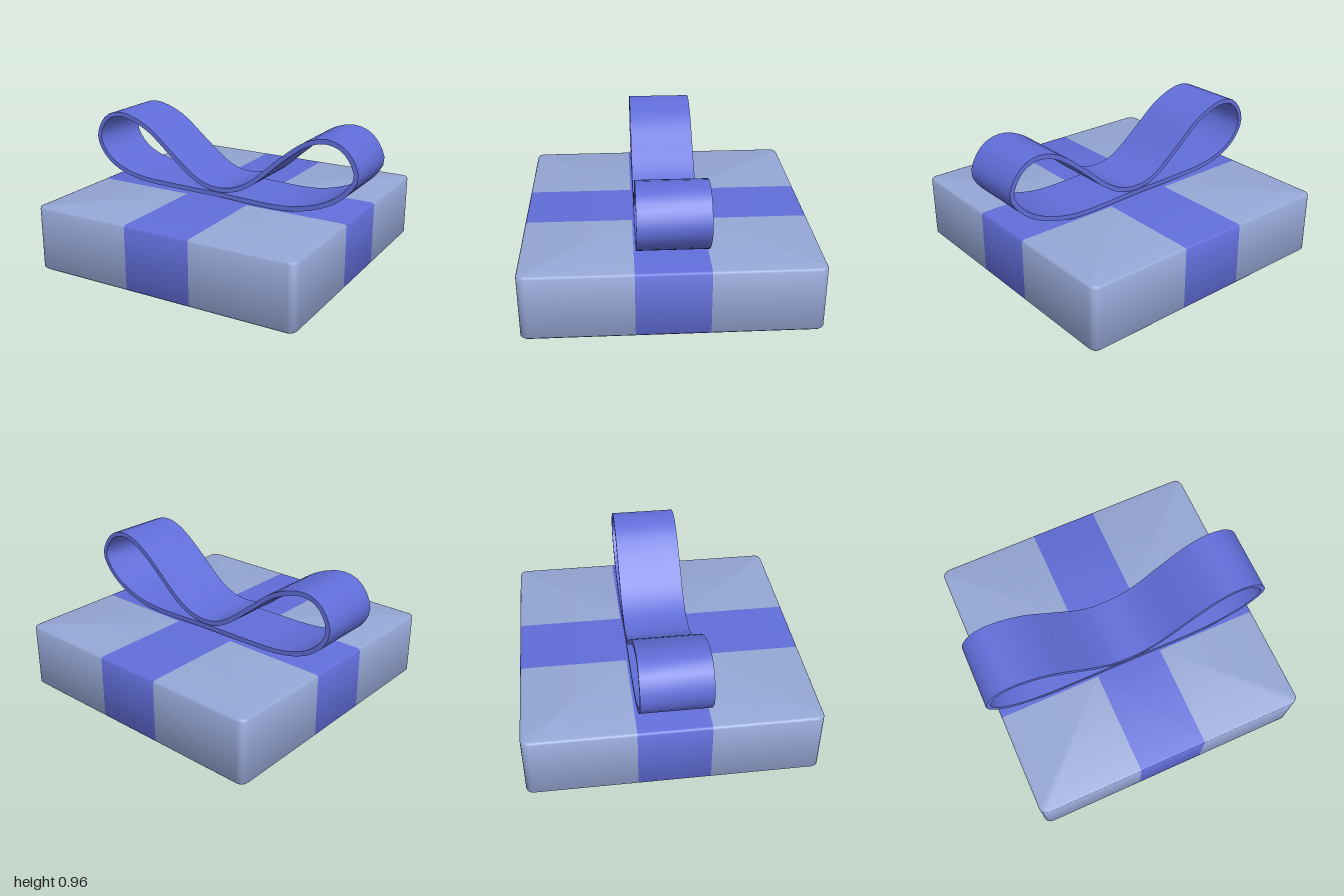
import * as THREE from 'three';
import { toCreasedNormals } from 'three/addons/utils/BufferGeometryUtils.js';

const BAND = 0.233;       // half width of the flat ribbon
const ARC = 4;            // steps round each vertical corner
const PER_SIDE = ARC + 3; // ring points on each side

const boxMaterial = new THREE.MeshStandardMaterial({ color: 0x94a6d4, side: THREE.DoubleSide });
const ribbonMaterial = new THREE.MeshStandardMaterial({ color: 0x606dd8, side: THREE.DoubleSide });

// Lid profile from ceiling centre, down the inside, up the outside, to top centre:
// [half width, corner radius, y, normal angle in degrees]; a repeated point is a crease
const PROFILE = [
  [0, 0, 0.37, -90], [BAND, 0, 0.37, -90], [0.89, 0, 0.37, -90],
  [0.89, 0, 0.37, 180], [0.89, 0, 0, 180],
  [0.89, 0, 0, -90], [0.925, 0.04, 0, -75], [0.94, 0.05, 0.015, -20],
  [0.94, 0.05, 0.425, 18], [0.935, 0.045, 0.435, 50], [0.922, 0.04, 0.44, 80],
  [BAND, 0, 0.44, 90], [0, 0, 0.44, 90],
];

// Points of one rounded square, with stops at the ribbon's edges: [x, z, normal angle]
function ring(half, radius) {
  const points = [];
  const b = Math.min(BAND, half);
  for (let side = 0; side < 4; side++) {
    const turn = (side * Math.PI) / 2;
    const local = [[half, -b, 0], [half, b, 0]];
    for (let j = 0; j <= ARC; j++) {
      const a = (j / ARC) * (Math.PI / 2);
      local.push([half - radius + radius * Math.cos(a), half - radius + radius * Math.sin(a), a]);
    }
    const c = Math.cos(turn), s = Math.sin(turn);
    for (const [x, z, a] of local) points.push([x * c - z * s, x * s + z * c, a + turn]);
  }
  return points;
}

// Lofts the hollow lid and sorts its faces into cardboard and flat ribbon
function createLid() {
  const positions = [], normals = [], boxIndex = [], ribbonIndex = [];
  for (const [half, radius, y, degrees] of PROFILE) {
    const t = THREE.MathUtils.degToRad(degrees);
    for (const [x, z, a] of ring(half, radius)) {
      positions.push(x, y, z);
      normals.push(Math.cos(t) * Math.cos(a), Math.sin(t), Math.cos(t) * Math.sin(a));
    }
  }
  const n = PER_SIDE * 4;
  for (let k = 0; k < PROFILE.length - 1; k++) {
    const [h0, , y0] = PROFILE[k], [h1, , y1] = PROFILE[k + 1];
    if (h0 === h1 && y0 === y1) continue;
    const isRim = y0 === 0 && y1 === 0;
    for (let i = 0; i < n; i++) {
      const j = (i + 1) % n;
      const a = k * n + i, b = k * n + j, c = (k + 1) * n + j, d = (k + 1) * n + i;
      const target = i % PER_SIDE === 0 && !isRim ? ribbonIndex : boxIndex;
      target.push(a, d, c, a, c, b);
    }
  }
  const position = new THREE.Float32BufferAttribute(positions, 3);
  const normal = new THREE.Float32BufferAttribute(normals, 3);
  const lid = new THREE.Group();
  lid.name = 'lid';
  const pieces = [['lidPanels', boxIndex, boxMaterial], ['flatRibbon', ribbonIndex, ribbonMaterial]];
  for (const [name, index, material] of pieces) {
    const geometry = new THREE.BufferGeometry();
    geometry.setAttribute('position', position);
    geometry.setAttribute('normal', normal);
    geometry.setIndex(index);
    const mesh = new THREE.Mesh(geometry, material);
    mesh.name = name;
    lid.add(mesh);
  }
  return lid;
}

// Two-lobed bow: a closed band following one curve, extruded across the lid
function createBow() {
  const path = [
    [0, 0.505], [0.1, 0.516], [0.18, 0.545], [0.275, 0.605], [0.41, 0.725], [0.54, 0.835],
    [0.65, 0.908], [0.77, 0.94], [0.88, 0.912], [0.955, 0.83], [0.983, 0.74], [0.935, 0.65],
    [0.85, 0.572], [0.73, 0.512], [0.57, 0.47], [0.42, 0.459], [0.2, 0.464], [0, 0.471],
    [-0.3, 0.474], [-0.6, 0.485], [-0.74, 0.513], [-0.86, 0.566], [-0.945, 0.645], [-0.983, 0.74],
    [-0.95, 0.84], [-0.885, 0.905], [-0.79, 0.927], [-0.68, 0.905], [-0.55, 0.845],
    [-0.38, 0.71], [-0.2, 0.57], [-0.1, 0.52],
  ];
  const curve = new THREE.CatmullRomCurve3(path.map(([x, y]) => new THREE.Vector3(x, y, 0)), true);
  const outer = [], inner = [];
  const steps = 96, halfThick = 0.0155, width = 0.44;
  for (let i = 0; i < steps; i++) {
    const p = curve.getPointAt(i / steps), t = curve.getTangentAt(i / steps);
    outer.push(new THREE.Vector2(p.x - t.y * halfThick, p.y + t.x * halfThick));
    inner.push(new THREE.Vector2(p.x + t.y * halfThick, p.y - t.x * halfThick));
  }
  const shape = new THREE.Shape(outer);
  shape.holes.push(new THREE.Path(inner));
  const geometry = new THREE.ExtrudeGeometry(shape, { depth: width, bevelEnabled: false });
  geometry.translate(0, 0, -width / 2);
  const bow = new THREE.Mesh(toCreasedNormals(geometry, 0.8), ribbonMaterial);
  bow.name = 'bow';
  return bow;
}

export function createModel() {
  const model = new THREE.Group();
  model.name = 'giftBoxLid';
  model.add(createLid(), createBow());
  return model;
}
